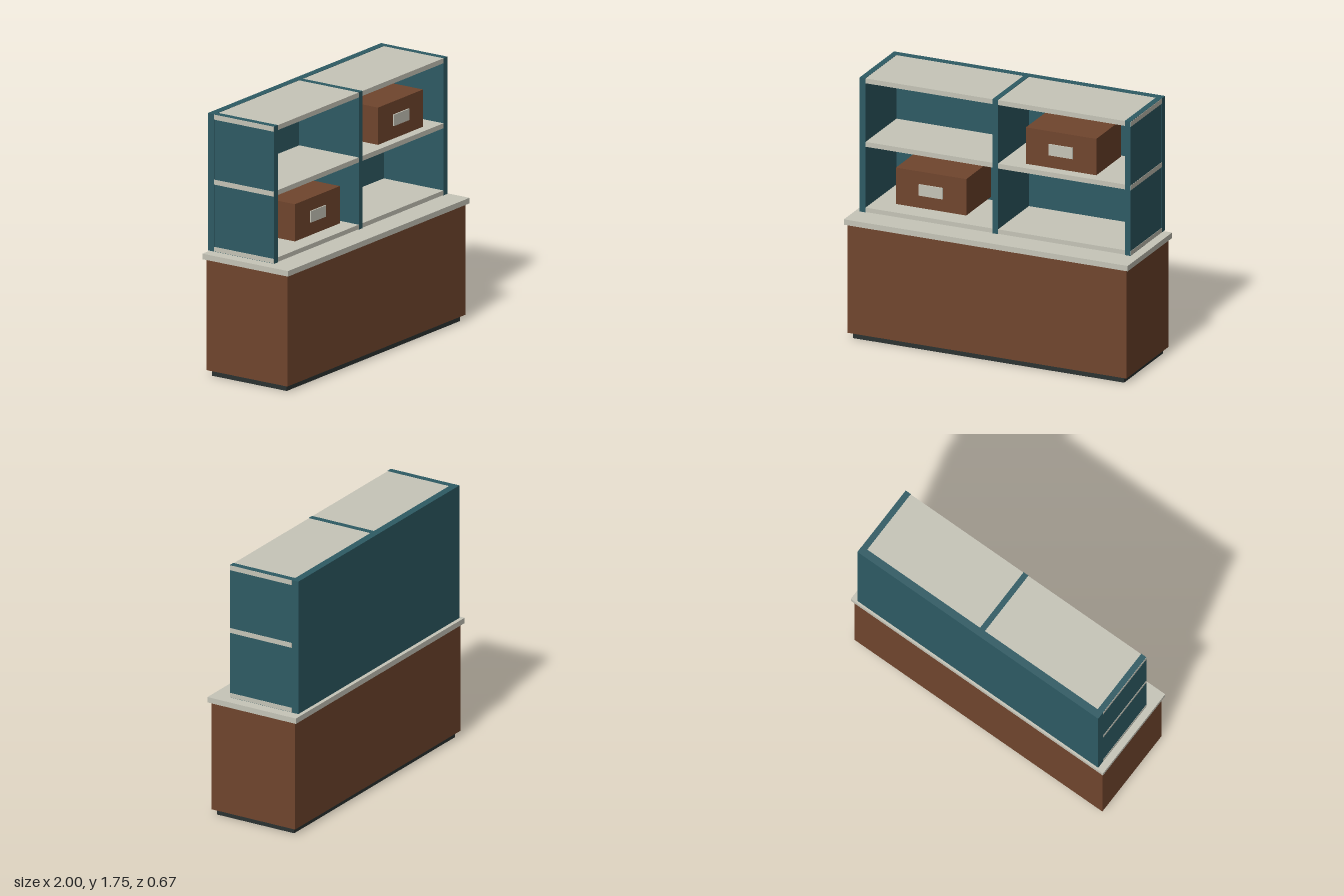
import * as THREE from 'three';

const mat = (name, color) => {
  const m = new THREE.MeshStandardMaterial({ color });
  m.name = name;
  return m;
};

export function createModel() {
  const wood = mat('brown wood', 0x70452d);
  const teal = mat('teal panel', 0x2e5b64);
  const stone = mat('pale stone', 0xc6c5b8);
  const dark = mat('dark plinth', 0x2b3231);

  const model = new THREE.Group();
  model.name = 'cabinetWithHutch';

  // box given by its extents along each axis
  const box = (parent, name, material, [x0, x1], [y0, y1], [z0, z1]) => {
    const mesh = new THREE.Mesh(new THREE.BoxGeometry(x1 - x0, y1 - y0, z1 - z0), material);
    mesh.position.set((x0 + x1) / 2, (y0 + y1) / 2, (z0 + z1) / 2);
    mesh.name = name;
    parent.add(mesh);
    return mesh;
  };

  // base cabinet
  const base = new THREE.Group();
  base.name = 'baseCabinet';
  model.add(base);
  box(base, 'plinth', dark, [-0.955, 0.955], [0, 0.04], [-0.293, 0.293]);
  box(base, 'cabinetBody', wood, [-0.982, 0.982], [0.04, 0.78], [-0.317, 0.317]);
  box(base, 'countertop', stone, [-1, 1], [0.78, 0.817], [-0.335, 0.335]);

  // shelving unit: back, uprights, shelves
  const hutch = new THREE.Group();
  hutch.name = 'shelvingUnit';
  model.add(hutch);
  box(hutch, 'backPanel', teal, [-0.955, 0.955], [0.83, 1.745], [-0.325, -0.275]);
  for (const [name, x, half] of [['rightUpright', -0.934, 0.02], ['middleUpright', 0, 0.019], ['leftUpright', 0.934, 0.02]]) {
    box(hutch, name, teal, [x - half, x + half], [0.83, 1.745], [-0.275, 0.194]);
  }
  // shelf ends show on the outer sides
  for (const [name, y0, y1] of [['bottomShelf', 0.832, 0.862], ['middleShelf', 1.277, 1.31], ['topShelf', 1.71, 1.743]]) {
    box(hutch, name, stone, [-0.956, 0.956], [y0, y1], [-0.275, 0.192]);
  }

  // storage boxes with label plates
  for (const [name, x, y] of [['lowerStorageBox', -0.458, 1.04], ['upperStorageBox', 0.458, 1.46]]) {
    const storage = new THREE.Group();
    storage.name = name;
    storage.position.set(x, y, 0);
    model.add(storage);
    box(storage, 'boxBody', wood, [-0.248, 0.248], [-0.124, 0.124], [-0.19, 0.18]);
    box(storage, 'labelPlate', stone, [-0.084, 0.084], [-0.038, 0.038], [0.18, 0.189]);
  }
  return model;
}
